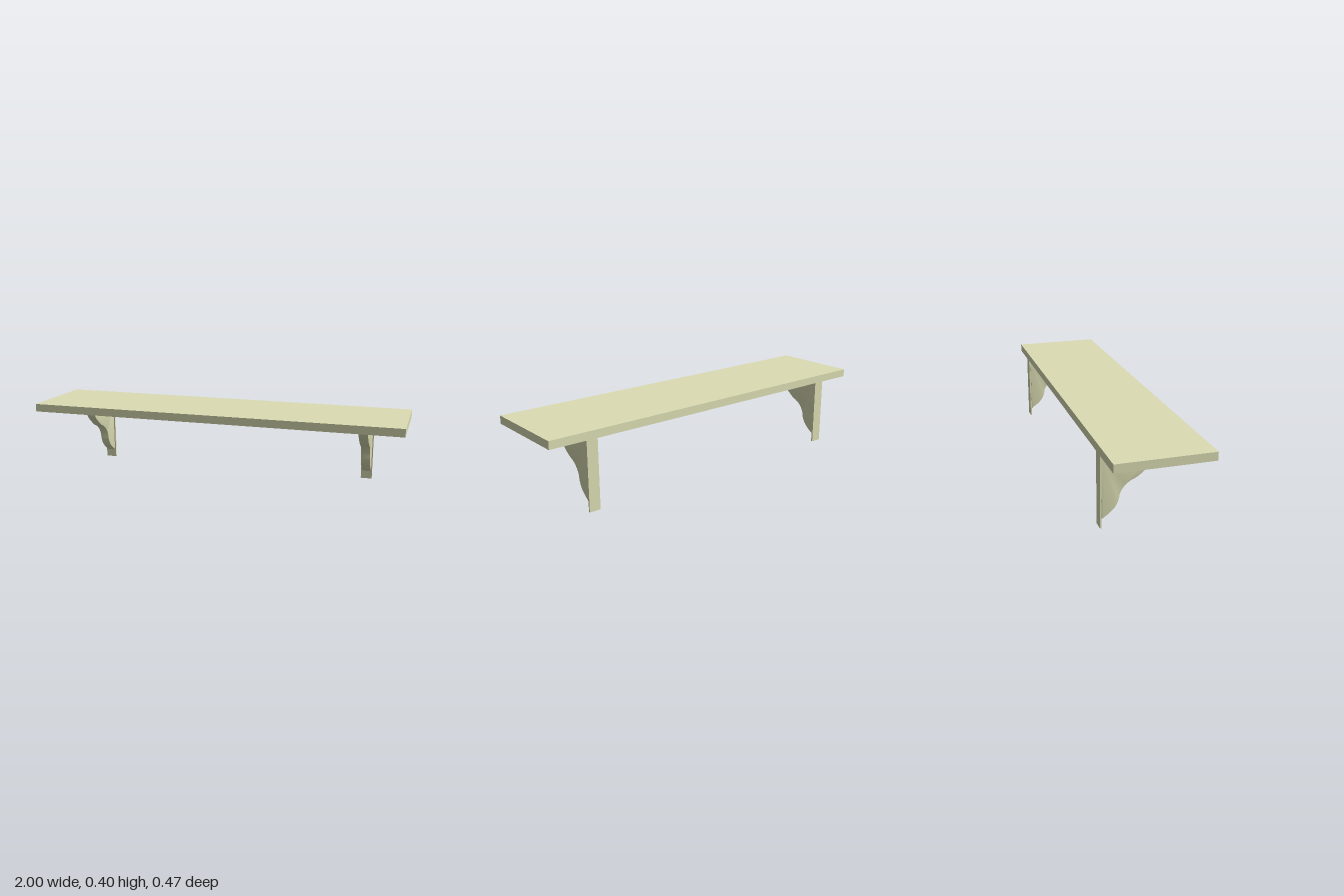
import * as THREE from 'three';
import { toCreasedNormals } from 'three/addons/utils/BufferGeometryUtils.js';

const material = new THREE.MeshStandardMaterial({ color: 0xdcdeb4 });

function box(name, size, position) {
  const mesh = new THREE.Mesh(new THREE.BoxGeometry(...size), material);
  mesh.name = name;
  mesh.position.set(...position);
  return mesh;
}

// Scrolled web of the bracket: profile in (z, y), extruded across x
function gussetGeometry(width) {
  const edge = [
    [0.029, 0.352], [0.031, 0.336], [0.024, 0.314], [0.006, 0.287], [-0.024, 0.261],
    [-0.056, 0.236], [-0.096, 0.216], [-0.122, 0.193], [-0.14, 0.162], [-0.146, 0.132],
    [-0.162, 0.098], [-0.19, 0.07], [-0.228, 0.043],
  ].map(([z, y]) => new THREE.Vector2(z, y));
  const curve = new THREE.SplineCurve(edge).getPoints(40);
  const shape = new THREE.Shape([new THREE.Vector2(-0.228, 0.352), ...curve]);
  const bevel = 0.004;
  const geometry = new THREE.ExtrudeGeometry(shape, {
    depth: width - 2 * bevel, bevelEnabled: true, bevelSize: bevel,
    bevelThickness: bevel, bevelOffset: -bevel, bevelSegments: 2,
  });
  geometry.translate(0, 0, bevel - width / 2);
  geometry.rotateY(-Math.PI / 2);
  return toCreasedNormals(geometry, 0.6);
}

export function createModel() {
  const model = new THREE.Group();
  model.name = 'wallShelf';

  // Shelf board
  model.add(box('shelfBoard', [2, 0.042, 0.474], [0, 0.381, 0]));

  // Two brackets: wall plate, support plate under the board, scrolled gusset
  const gusset = gussetGeometry(0.05);
  for (const side of [1, -1]) {
    const bracket = new THREE.Group();
    bracket.name = side > 0 ? 'leftBracket' : 'rightBracket';
    bracket.position.x = side * 0.777;
    bracket.add(box('wallPlate', [0.06, 0.36, 0.008], [0, 0.18, -0.233]));
    bracket.add(box('supportPlate', [0.06, 0.008, 0.372], [0, 0.356, -0.043]));
    const web = new THREE.Mesh(gusset, material);
    web.name = 'gusset';
    bracket.add(web);
    model.add(bracket);
  }
  return model;
}
